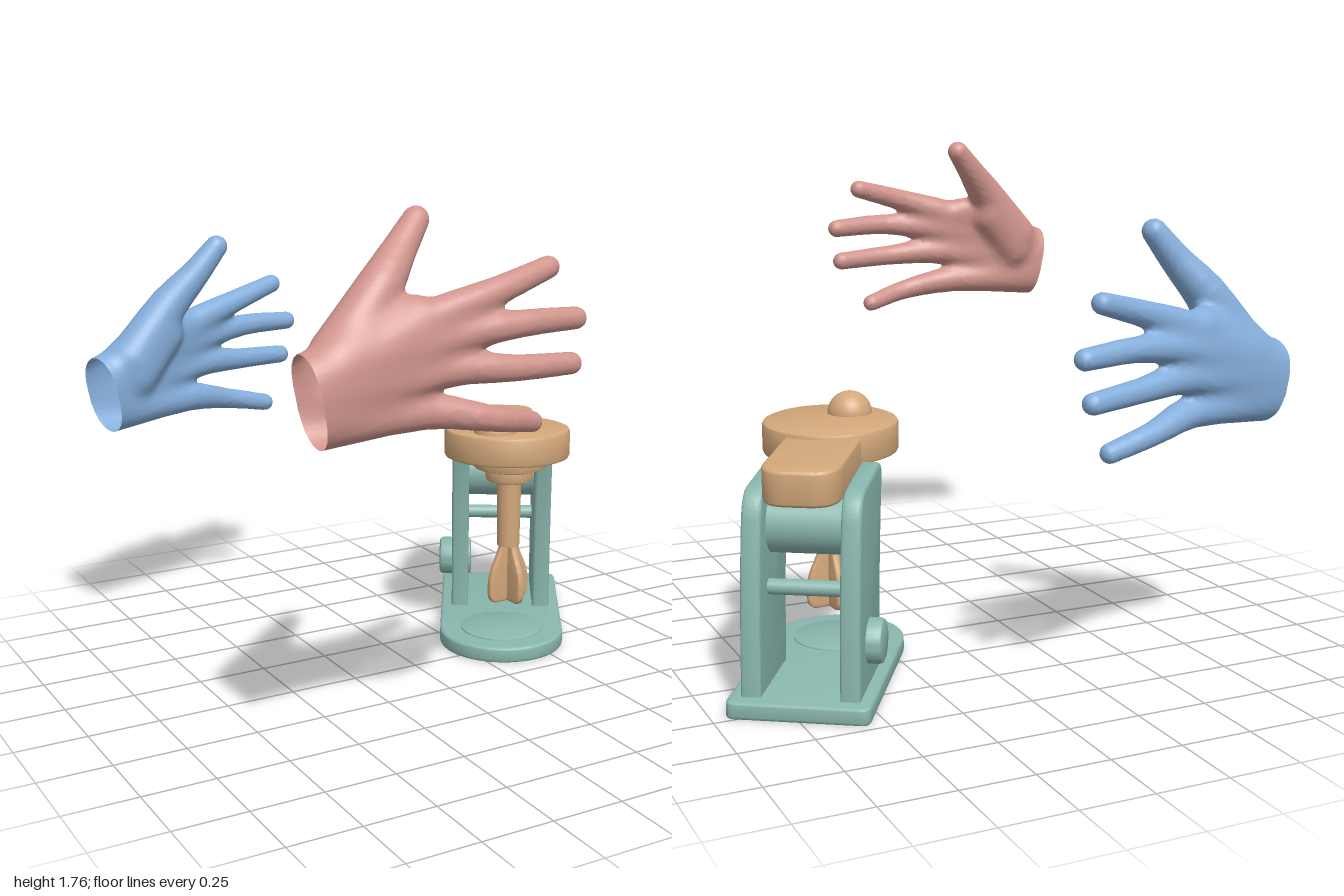
import * as THREE from 'three';
import { toCreasedNormals } from 'three/addons/utils/BufferGeometryUtils.js';

const paint = (name, color, side = THREE.FrontSide) => {
  const m = new THREE.MeshStandardMaterial({ color, side });
  m.name = name;
  return m;
};

function add(parent, name, geometry, material, x = 0, y = 0, z = 0) {
  const mesh = new THREE.Mesh(geometry, material);
  mesh.name = name;
  mesh.position.set(x, y, z);
  parent.add(mesh);
  return mesh;
}

// Bevelled extrusion whose outline and depth keep the given size
function slab(shape, depth, bevel) {
  const g = new THREE.ExtrudeGeometry(shape, {
    depth: depth - 2 * bevel, bevelEnabled: true, bevelThickness: bevel,
    bevelSize: bevel, bevelOffset: -bevel, bevelSegments: 3, curveSegments: 24,
  });
  g.translate(0, 0, bevel);
  return toCreasedNormals(g, 0.6);
}

// Turned disc with softened rims
function disc(r, y0, y1, b = 0.012) {
  const p = [[0, y0], [r - b, y0], [r - b * 0.3, y0 + b * 0.3], [r, y0 + b],
    [r, y1 - b], [r - b * 0.3, y1 - b * 0.3], [r - b, y1], [0, y1]];
  return toCreasedNormals(new THREE.LatheGeometry(p.map(([x, y]) => new THREE.Vector2(x, y)), 56), 0.6);
}

// Hand bones as chains of [x, y, z, radius], measured from the wrist
const FINGERS = [
  [[-0.06, 0.045, 0.003, 0.083], [0.38, 0.21, 0.01, 0.054], [0.6, 0.275, 0.02, 0.042], [0.805, 0.327, -0.02, 0.034]],
  [[-0.06, 0.01, 0.003, 0.083], [0.42, 0.15, 0.02, 0.054], [0.67, 0.177, 0.045, 0.04], [0.895, 0.17, 0, 0.034]],
  [[-0.06, -0.025, 0.003, 0.083], [0.41, 0.06, 0.02, 0.053], [0.65, 0.048, 0.05, 0.039], [0.87, 0.036, 0.015, 0.034]],
  [[-0.06, -0.06, 0.003, 0.081], [0.37, -0.058, 0.01, 0.053], [0.58, -0.098, 0.046, 0.038], [0.753, -0.138, -0.015, 0.032]],
];
const THUMB = [[0.11, 0.13, -0.03, 0.083], [0.26, 0.3, -0.068, 0.068], [0.35, 0.395, -0.115, 0.051], [0.425, 0.475, -0.15, 0.04]];
const PALM = [
  [[0.18, 0.18, -0.03, 0.05], [0.34, 0.235, -0.01, 0.04]],
  [[0.12, 0.06, -0.045, 0.06], [0.24, 0.2, -0.062, 0.06]],
];

// Bones bent smoothly through the joints; open = 1 straightens the fingers and lifts the thumb
function pose(open) {
  const straight = FINGERS.map((c) => c.map(([x, y, z, r], i) => [x, y, z - open * [0, 0.02, 0.04, 0][i], r]));
  const lifted = THUMB.map(([x, y, z, r], i) => [x, y + open * [0, 0.01, 0.02, 0.035][i], z, r]);
  return [...straight, lifted, ...PALM].map((chain) => {
    const curve = new THREE.CatmullRomCurve3(chain.map((b) => new THREE.Vector3(...b)));
    const last = chain.length - 1;
    return Array.from({ length: last * 3 + 1 }, (_, i) => {
      const a = Math.min(Math.floor(i / 3), last - 1), t = i / 3 - a;
      return [...curve.getPoint(i / 3 / last).toArray(), chain[a][3] * (1 - t) + chain[a + 1][3] * t];
    });
  });
}

// Distance to the hand: tapered bones blended together
function handDistance(bones, x, y, z) {
  let d = 1e3;
  for (const chain of bones) {
    let c = 1e3;
    for (let i = 1; i < chain.length; i++) {
      const a = chain[i - 1], b = chain[i];
      const bx = b[0] - a[0], by = b[1] - a[1], bz = b[2] - a[2];
      const px = x - a[0], py = y - a[1], pz = z - a[2];
      const t = Math.min(1, Math.max(0, (px * bx + py * by + pz * bz) / (bx * bx + by * by + bz * bz)));
      c = Math.min(c, Math.hypot(px - bx * t, py - by * t, pz - bz * t) - a[3] - (b[3] - a[3]) * t);
    }
    const k = 0.04, h = Math.max(k - Math.abs(d - c), 0) / k;
    d = Math.min(d, c) - h * h * k / 4;
  }
  return d;
}

// Surface net around the distance field, left open at the wrist; side = -1 mirrors it in z
function handGeometry(bones, side) {
  const s = 0.0125, n = [88, 68, 36];
  const lo = [-0.1, -0.25, side > 0 ? -0.27 : 0.27 - (n[2] - 1) * s];
  const stride = [1, n[0], n[0] * n[1]];
  const f = (x, y, z) => handDistance(bones, x, y, z * side);
  const val = new Float32Array(n[0] * n[1] * n[2]);
  const ids = new Int32Array(val.length).fill(-1);
  const pos = [], index = [], kept = [];
  const each = (from, to, fn) => {
    for (let k = from; k < n[2] - to; k++)
      for (let j = from; j < n[1] - to; j++)
        for (let i = from; i < n[0] - to; i++) fn(i + j * stride[1] + k * stride[2], [i, j, k]);
  };
  each(0, 0, (q, c) => { val[q] = f(lo[0] + c[0] * s, lo[1] + c[1] * s, lo[2] + c[2] * s); });
  // one vertex per crossed cell, at the mean of its edge crossings
  each(0, 1, (q, c) => {
    const sum = [0, 0, 0];
    let count = 0;
    for (let corner = 0; corner < 8; corner++) {
      const bit = [corner & 1, (corner >> 1) & 1, corner >> 2];
      const u = q + bit[0] + bit[1] * stride[1] + bit[2] * stride[2];
      for (let a = 0; a < 3; a++) {
        if (bit[a]) continue;
        const v0 = val[u], v1 = val[u + stride[a]];
        if ((v0 < 0) === (v1 < 0)) continue;
        for (let e = 0; e < 3; e++) sum[e] += bit[e] + (e === a ? v0 / (v0 - v1) : 0);
        count++;
      }
    }
    if (!count) return;
    ids[q] = kept.length;
    const p = sum.map((w, e) => lo[e] + (c[e] + w / count) * s);
    // settle the vertex on the surface
    const d = f(...p), h = 0.002;
    const [x, y, z] = p.map((w, e) => {
      const r = [...p], l = [...p];
      r[e] += h; l[e] -= h;
      return w - d * (f(...r) - f(...l)) / (2 * h);
    });
    // slide anything behind the wrist plane onto it
    const wrist = -0.19 * y;
    kept.push(x > wrist);
    pos.push(Math.max(x, wrist), y, z);
  });
  // one quad per crossed grid edge in front of the wrist
  each(1, 1, (q) => {
    for (let a = 0; a < 3; a++) {
      const inside = val[q] < 0;
      if (inside === (val[q + stride[a]] < 0)) continue;
      const b = stride[(a + 1) % 3], c = stride[(a + 2) % 3];
      const r = [ids[q], ids[q - b], ids[q - b - c], ids[q - c]];
      if (!r.some((v) => kept[v])) continue;
      if (!inside) r.reverse();
      index.push(r[0], r[1], r[2], r[0], r[2], r[3]);
    }
  });
  const g = new THREE.BufferGeometry();
  g.setAttribute('position', new THREE.Float32BufferAttribute(pos, 3));
  g.setIndex(index);
  g.computeVertexNormals();
  return g;
}

export function createModel() {
  const model = new THREE.Group();
  const teal = paint('teal', 0x8ab7ae), tan = paint('tan', 0xd3a87b);
  const pink = paint('pink', 0xd1968e, THREE.DoubleSide), blue = paint('blue', 0x86afdc, THREE.DoubleSide);

  // Hands
  add(model, 'pinkHand', handGeometry(pose(0), 1), pink, -0.85, 1.25, 0.89);
  const blueHand = add(model, 'blueHand', handGeometry(pose(1), -1), blue, -0.91, 0.987, -0.7);
  blueHand.rotation.set(-0.02, 0.31, 0, 'YXZ');
  blueHand.scale.setScalar(1.02);

  // Mixer, turned on its base
  const mixer = new THREE.Group();
  mixer.name = 'mixer';
  mixer.position.set(0.415, 0, -0.055);
  mixer.rotation.y = -0.56;
  model.add(mixer);

  // Base plate: round in front, square behind
  const plate = new THREE.Shape();
  plate.absarc(0, 0, 0.235, Math.PI, Math.PI * 2, false);
  plate.lineTo(0.235, 0.62);
  plate.quadraticCurveTo(0.235, 0.655, 0.2, 0.655);
  plate.lineTo(-0.2, 0.655);
  plate.quadraticCurveTo(-0.235, 0.655, -0.235, 0.62);
  add(mixer, 'base', slab(plate, 0.058, 0.01).rotateX(-Math.PI / 2), teal);
  add(mixer, 'bowlRest', disc(0.155, 0.05, 0.063, 0.002), teal);

  // Side panels
  const panel = new THREE.Shape();
  panel.moveTo(0.237, 0.04);
  panel.quadraticCurveTo(0.232, 0.4, 0.17, 0.68);
  panel.quadraticCurveTo(0.16, 0.745, 0.217, 0.745);
  panel.lineTo(0.465, 0.722);
  panel.quadraticCurveTo(0.535, 0.715, 0.553, 0.63);
  panel.quadraticCurveTo(0.598, 0.4, 0.603, 0.04);
  for (const x of [-0.194, 0.128])
    add(mixer, 'sidePanel', slab(panel, 0.066, 0.012).rotateY(Math.PI / 2), teal, x);

  // Cross bars and motor barrel between the panels
  for (const [name, r, y, z] of [['upperBar', 0.026, 0.665, -0.28], ['lowerBar', 0.026, 0.385, -0.465], ['motorBarrel', 0.102, 0.583, -0.39]])
    add(mixer, name, new THREE.CylinderGeometry(r, r, 0.3, 32).rotateZ(Math.PI / 2), teal, 0, y, z);

  // Speed dial through one panel
  add(mixer, 'dial', disc(0.075, -0.064, 0.064, 0.015).rotateZ(Math.PI / 2), teal, -0.182, 0.205, -0.43);

  // Arm and round head
  const arm = new THREE.Shape();
  arm.moveTo(-0.128, 0.12);
  arm.lineTo(0.128, 0.12);
  arm.lineTo(0.128, 0.5);
  arm.quadraticCurveTo(0.128, 0.608, 0.03, 0.608);
  arm.lineTo(-0.03, 0.608);
  arm.quadraticCurveTo(-0.128, 0.608, -0.128, 0.5);
  add(mixer, 'arm', slab(arm, 0.118, 0.012).rotateX(-Math.PI / 2), tan, 0, 0.718, 0).rotation.x = -0.055;
  add(mixer, 'head', disc(0.235, -0.056, 0.054), tan, 0.013, 0.793, -0.012).rotation.x = -0.035;
  add(mixer, 'topKnob', new THREE.SphereGeometry(0.079, 32, 20), tan, -0.034, 0.848, 0.096);

  // Beater: collars, shaft and crossed blades
  const beater = new THREE.Group();
  beater.name = 'beater';
  beater.position.set(0.023, 0, 0.003);
  beater.rotation.y = 0.62;
  mixer.add(beater);
  add(beater, 'upperCollar', disc(0.138, 0.697, 0.76), tan);
  add(beater, 'lowerCollar', disc(0.09, 0.645, 0.71), tan);
  add(beater, 'shaft', new THREE.CylinderGeometry(0.046, 0.042, 0.28, 32), tan, 0, 0.53, 0);
  const blade = new THREE.Shape();
  blade.moveTo(-0.06, 0.17);
  blade.lineTo(0.06, 0.17);
  blade.quadraticCurveTo(0.09, 0.175, 0.088, 0.215);
  blade.bezierCurveTo(0.094, 0.31, 0.052, 0.33, 0.036, 0.405);
  blade.lineTo(-0.036, 0.405);
  blade.bezierCurveTo(-0.052, 0.33, -0.094, 0.31, -0.088, 0.215);
  blade.quadraticCurveTo(-0.09, 0.175, -0.06, 0.17);
  for (const turn of [0, Math.PI / 2])
    add(beater, 'blade', slab(blade, 0.026, 0.007).translate(0, 0, -0.013), tan).rotation.y = turn;

  return model;
}
